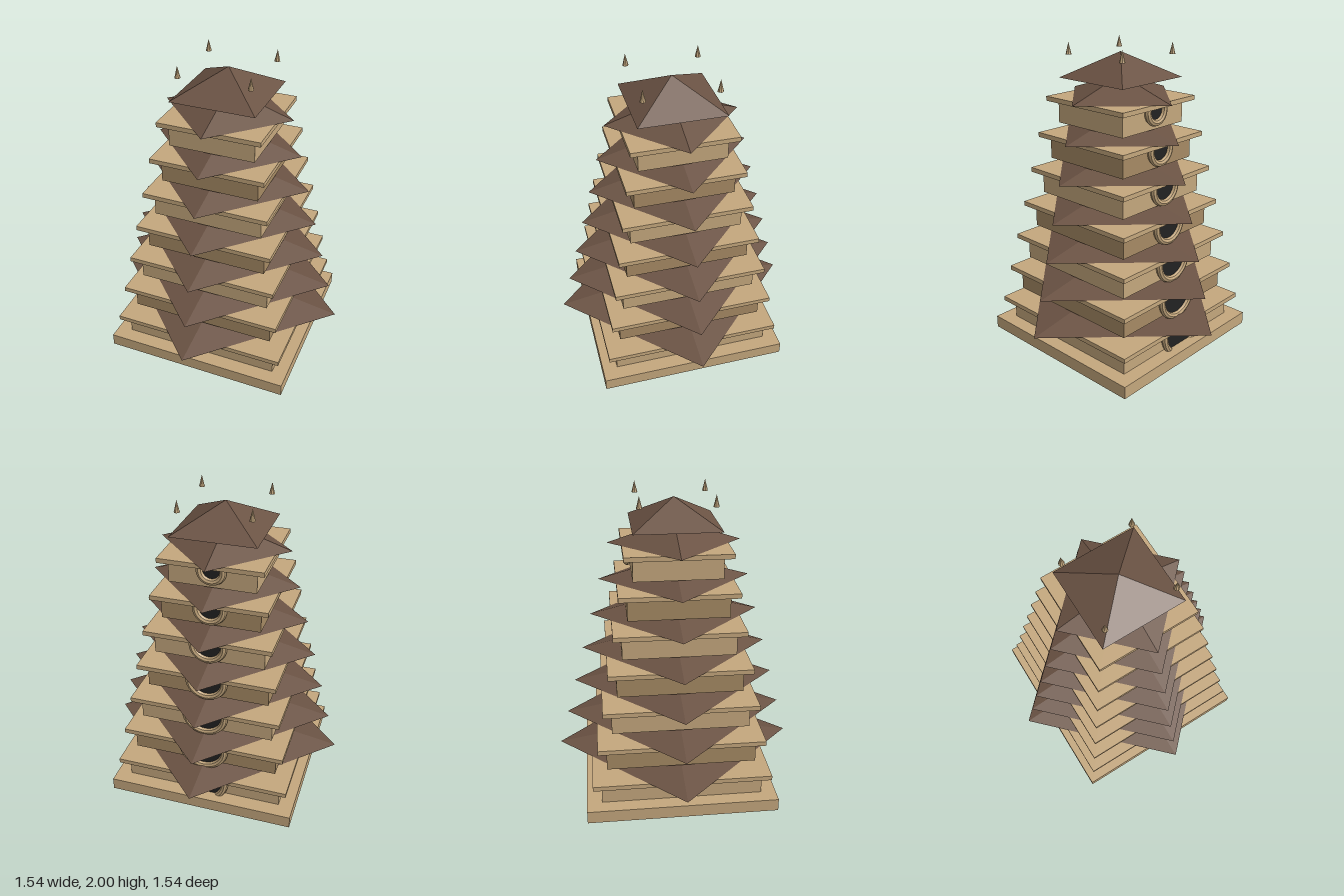
import * as THREE from 'three';

const material = (color) => new THREE.MeshStandardMaterial({ color, flatShading: true });

export function createModel() {
  const model = new THREE.Group();
  model.name = 'pagoda';
  // The whole tower stands turned on its plot
  model.rotation.y = THREE.MathUtils.degToRad(-13.8);

  const stone = material(0xc4a77d);
  const darkStone = material(0xa68a64);
  const tile = material(0x6b5344);
  const opening = material(0x222222);

  const add = (name, geometry, mat, x, y, z, parent = model) => {
    const mesh = new THREE.Mesh(geometry, mat);
    mesh.name = name;
    mesh.position.set(x, y, z);
    parent.add(mesh);
    return mesh;
  };
  // Square block given by its side, bottom and top
  const block = (name, side, y0, y1, mat, parent) =>
    add(name, new THREE.BoxGeometry(side, y1 - y0, side), mat, 0, (y0 + y1) / 2, 0, parent);
  // Four-sided pyramid roof standing on y
  const pyramid = (name, radius, height, y, parent) =>
    add(name, new THREE.ConeGeometry(radius, height, 4), tile, 0, y + height / 2, 0, parent);

  block('base', 1.238, 0, 0.083, stone);
  add('centralPole', new THREE.CylinderGeometry(0.055, 0.055, 1.79, 12), stone, 0, 0.896, 0);

  for (let i = 0; i < 7; i++) {
    const storey = new THREE.Group();
    storey.name = `storey${i + 1}`;
    model.add(storey);
    const side = 1.044 - 0.081 * i;
    const y0 = 0.067 + 0.2372 * i;
    const top = y0 + 0.142;

    block('walls', side, y0, top, i % 2 ? darkStone : stone, storey);
    block('eaveSlab', side + 0.11, top, top + 0.03, stone, storey);
    // Roof corners point over the middles of the walls
    pyramid('roof', side * 0.76, 0.135, top + 0.03, storey);

    // Rounded opening on the back wall with a raised frame
    const outer = side * 0.175;
    const tube = 0.022;
    const ring = outer - tube;
    const lift = Math.asin(0.019 / ring);
    const arc = Math.PI + 2 * lift;
    const frame = new THREE.TorusGeometry(ring, tube, 8, 20, arc);
    frame.rotateZ(Math.PI - lift);
    add('archFrame', frame, stone, 0, top - 0.02, -side / 2 - 0.02, storey);

    const hole = new THREE.Shape();
    hole.absarc(0, 0, ring, Math.PI - lift, 2 * Math.PI + lift, false);
    hole.closePath();
    const panel = new THREE.ExtrudeGeometry(hole, { depth: 0.04, bevelEnabled: false, curveSegments: 20 });
    add('archOpening', panel, opening, 0, top - 0.02, -side / 2 - 0.02, storey);
  }

  // Crowning roof, in line with the walls
  pyramid('topRoof', 0.388, 0.163, 1.78).rotation.y = Math.PI / 4;

  // Finials above the corners of the crowning roof
  for (const x of [-1, 1]) {
    for (const z of [-1, 1]) {
      add('finial', new THREE.ConeGeometry(0.019, 0.075, 8), stone, x * 0.229, 1.9625, z * 0.229);
    }
  }

  const root = new THREE.Group();
  root.name = 'tower';
  root.add(model);
  return root;
}
